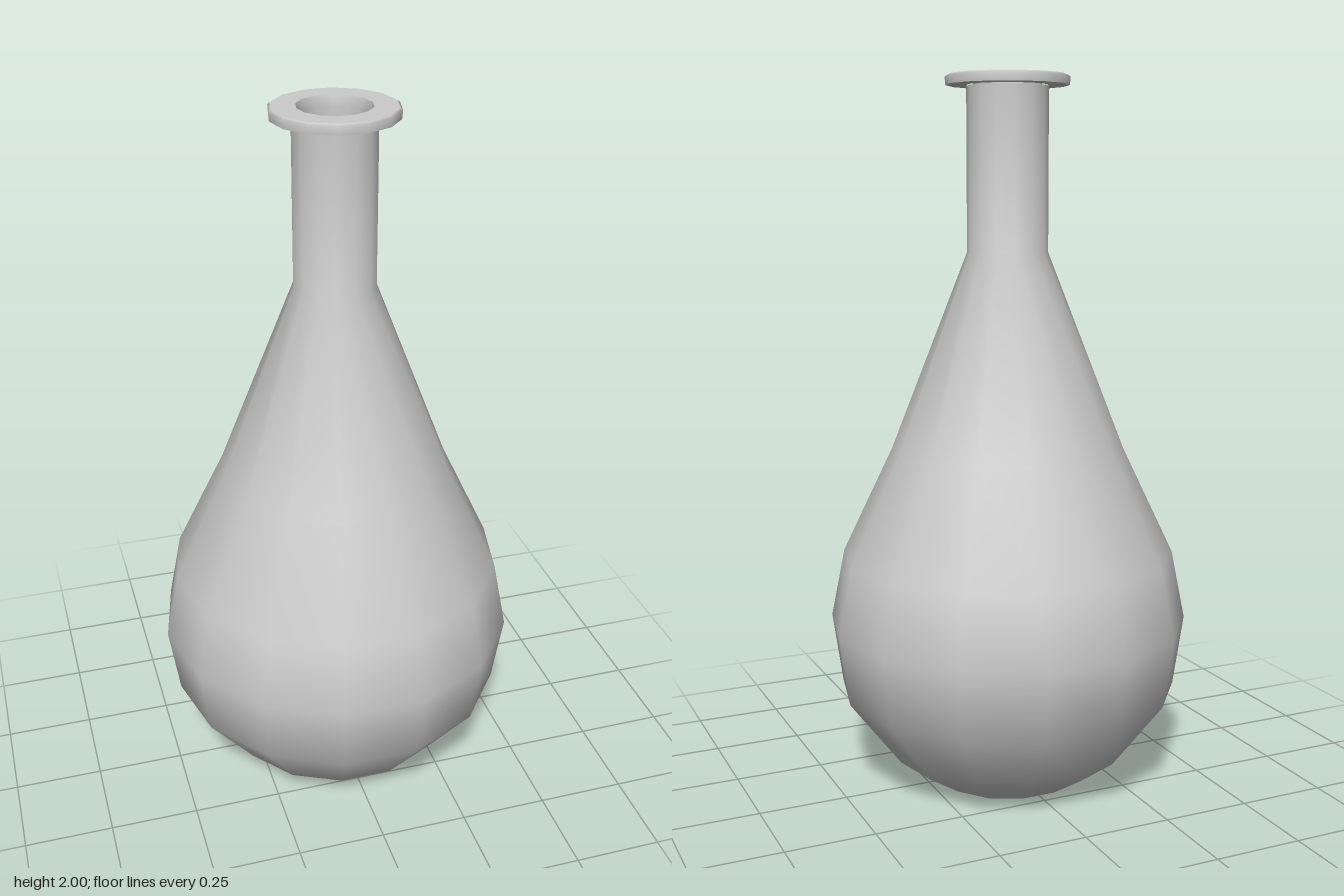
import * as THREE from 'three';

const SIDES = 14;

export function createModel() {
  const group = new THREE.Group();
  group.name = 'flask';
  const material = new THREE.MeshStandardMaterial({ color: 0xcccccc });

  // Revolves a profile, with a corner of the polygon on the x axis
  function addLathe(name, profile) {
    const points = profile.map(([r, y]) => new THREE.Vector2(r, y));
    const mesh = new THREE.Mesh(new THREE.LatheGeometry(points, SIDES, Math.PI / 2), material);
    mesh.name = name;
    group.add(mesh);
  }

  // Flat underside
  addLathe('base', [[0, 0], [0.22, 0]]);

  // Bulb, shoulder and neck in one smooth skin
  addLathe('body', [
    [0.22, 0], [0.335, 0.075], [0.483, 0.27], [0.512, 0.47],
    [0.473, 0.665], [0.33, 0.965], [0.113, 1.52], [0.113, 1.97],
  ]);

  // Flat lip around the mouth
  addLathe('lipUnderside', [[0.113, 1.972], [0.17, 1.972]]);
  addLathe('lipEdge', [[0.17, 1.972], [0.172, 1.995], [0.165, 2]]);
  addLathe('lipTop', [[0.165, 2], [0.1, 2]]);

  // Hollow inside, from the mouth down to the floor
  addLathe('innerWall', [
    [0.1, 2], [0.092, 1.97], [0.092, 1.52], [0.31, 0.965], [0.45, 0.665],
    [0.488, 0.47], [0.46, 0.28], [0.32, 0.095], [0.21, 0.025],
  ]);
  addLathe('innerFloor', [[0.21, 0.025], [0, 0.025]]);

  return group;
}
